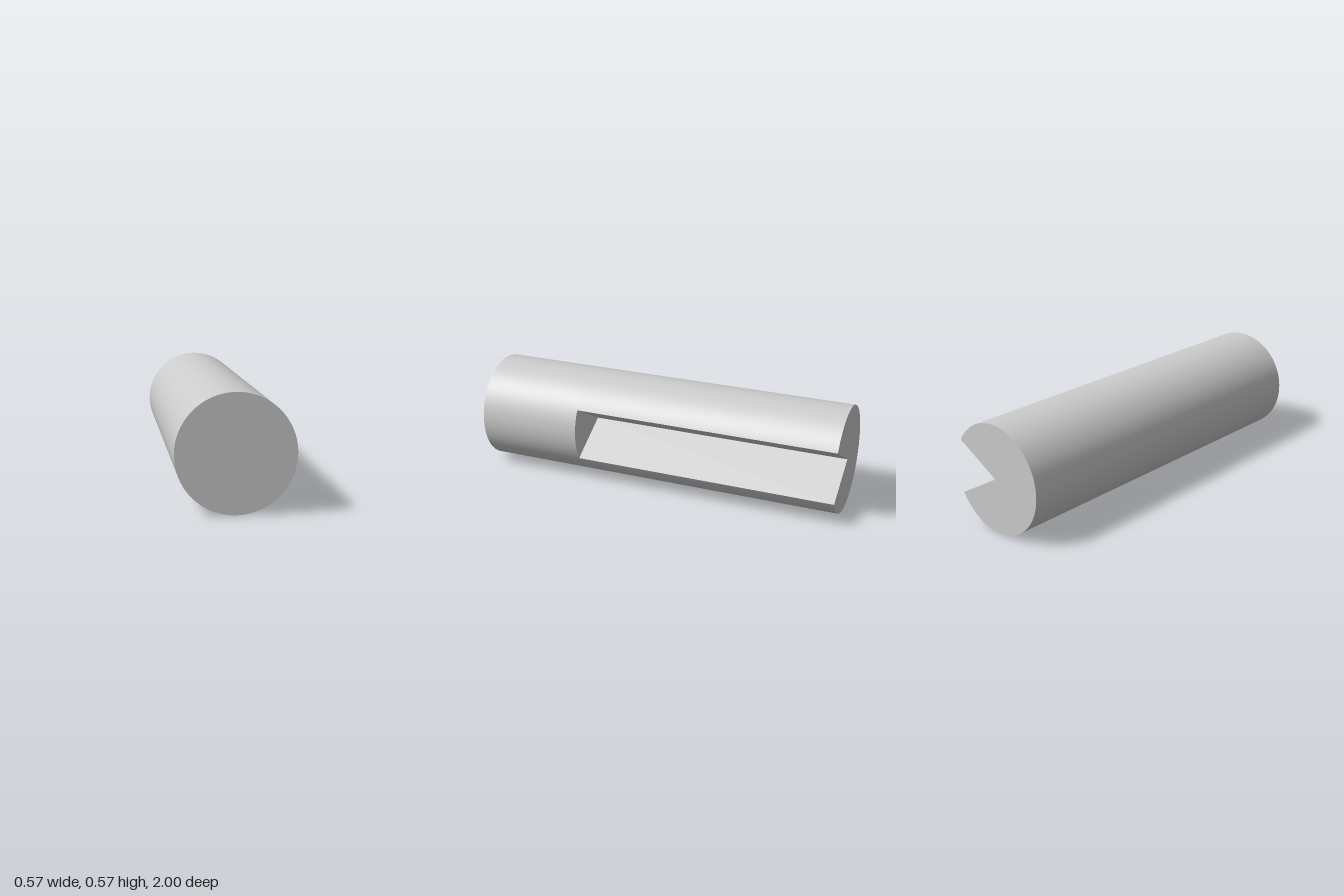
import * as THREE from 'three';

const R = 0.286, FRONT = 1, STEP = 0.43, BACK = -1;
const HALF = Math.PI / 6; // half angle of the wedge notch, opening towards +x

export function createModel() {
  const group = new THREE.Group();
  group.position.y = R;
  const material = new THREE.MeshStandardMaterial({ color: 0xcccccc });
  const add = (name, geometry) => {
    const mesh = new THREE.Mesh(geometry, material);
    mesh.name = name;
    group.add(mesh);
  };

  // Curved skin between two z positions, from angle a0 (measured from +x) through sweep
  const skin = (z0, z1, a0, sweep, segments) =>
    new THREE.CylinderGeometry(R, R, z1 - z0, segments, 1, true, a0 + Math.PI / 2, sweep)
      .rotateX(Math.PI / 2).translate(0, 0, (z0 + z1) / 2);

  // Flat sector facing backwards, centred on angle mid
  const backSector = (z, mid, sweep, segments) =>
    new THREE.CircleGeometry(R, segments, Math.PI - mid - sweep / 2, sweep)
      .rotateY(Math.PI).translate(0, 0, z);

  const notch = 2 * HALF, rest = 2 * Math.PI - notch;

  // Full round front section
  add('frontSkin', skin(STEP, FRONT, HALF, 2 * Math.PI, 96));
  add('frontCap', new THREE.CircleGeometry(R, 96, HALF).translate(0, 0, FRONT));

  // Notched rear section
  add('rearSkin', skin(BACK, STEP, HALF, rest, 80));
  add('rearCap', backSector(BACK, Math.PI, rest, 80));
  add('notchEnd', backSector(STEP, 0, notch, 16));

  // Flat notch walls meeting on the axis
  for (const side of [-1, 1]) {
    const wall = new THREE.PlaneGeometry(R, STEP - BACK)
      .rotateX(side * Math.PI / 2)
      .translate(R / 2, 0, (STEP + BACK) / 2)
      .rotateZ(side * HALF);
    add(side < 0 ? 'lowerNotchWall' : 'upperNotchWall', wall);
  }

  const model = new THREE.Group();
  model.name = 'notchedRod';
  model.add(group);
  return model;
}
